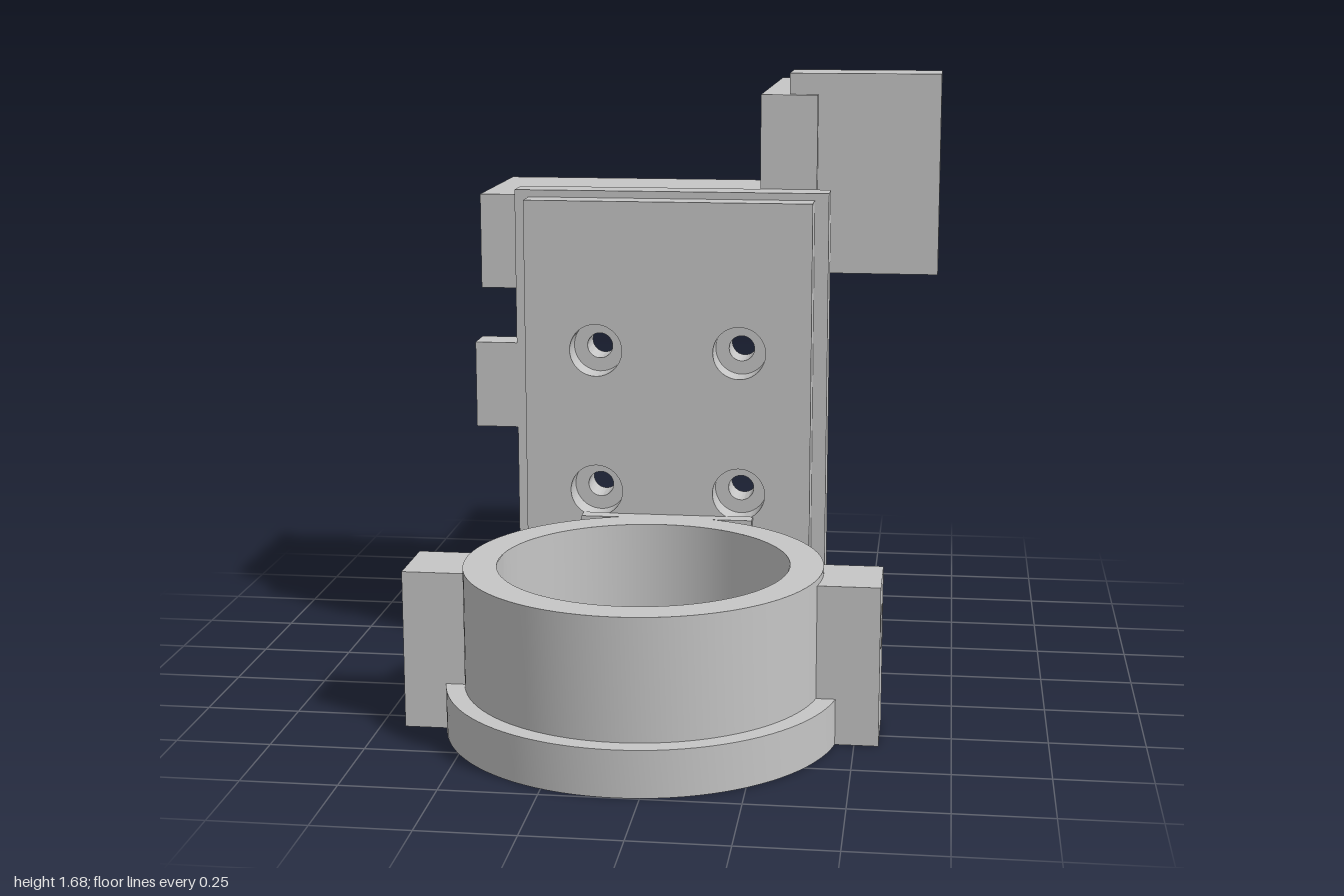
import * as THREE from 'three';
import { toCreasedNormals } from 'three/addons/utils/BufferGeometryUtils.js';

const V = (x, y) => new THREE.Vector2(x, y);

// Closed outline with optional round holes [x, y, r]
function outline(points, holes = []) {
  const s = new THREE.Shape(points.map(p => V(...p)));
  for (const [x, y, r] of holes) {
    const h = new THREE.Path();
    h.absarc(x, y, r, 0, Math.PI * 2, true);
    s.holes.push(h);
  }
  return s;
}

const rect = (x0, x1, y0, y1) => [[x0, y0], [x1, y0], [x1, y1], [x0, y1]];

function extrude(shape, depth) {
  const g = new THREE.ExtrudeGeometry(shape, { depth, bevelEnabled: false, curveSegments: 24 });
  return toCreasedNormals(g, 0.6);
}

export function createModel() {
  const model = new THREE.Group();
  const grey = new THREE.MeshStandardMaterial({ color: 0xc6c6c6, side: THREE.DoubleSide });
  grey.name = 'light grey plastic';

  function add(name, geometry, parent = model) {
    const m = new THREE.Mesh(geometry, grey);
    m.name = name;
    parent.add(m);
    return m;
  }
  function box(name, x0, x1, y0, y1, z0, z1) {
    const m = add(name, new THREE.BoxGeometry(x1 - x0, y1 - y0, z1 - z0));
    m.position.set((x0 + x1) / 2, (y0 + y1) / 2, (z0 + z1) / 2);
  }

  // Flanged ring
  const ring = new THREE.Group();
  ring.name = 'ring';
  ring.position.set(-0.061, 0, 0.478);
  model.add(ring);
  const R = 0.384, H = 0.442, gap = 0.105;
  const profile = [[R, 0], [0.521, 0], [0.521, 0.123], [0.472, 0.123], [0.472, H], [R, H]];
  const shell = new THREE.LatheGeometry(profile.map(p => V(...p)), 96);
  add('ringShell', toCreasedNormals(shell, 0.6), ring);

  // Bore wall, ears and their screw holes on each side
  for (const side of [1, -1]) {
    const turn = side * Math.PI / 2;
    add('ringBore', new THREE.LatheGeometry([V(R, H), V(R, 0)], 48, turn + gap, Math.PI - 2 * gap), ring);

    const w = R * Math.sin(gap);
    const panel = new THREE.ShapeGeometry(outline(rect(-w, w, 0, H), [[0, 0.293, 0.032]]), 16);
    panel.rotateY(-turn).translate(side * R * Math.cos(gap), 0, 0);
    add('borePanel', panel, ring);

    const pin = new THREE.CylinderGeometry(0.032, 0.032, 0.07, 24, 1, true);
    pin.rotateZ(Math.PI / 2).translate(side * (R * Math.cos(gap) + 0.035), 0.293, 0);
    add('borePinHole', pin, ring);

    const ear = extrude(outline(rect(-0.099, 0.099, 0, 0.425), [[0, 0.293, 0.061]]), 0.2);
    ear.rotateY(turn).translate(side * 0.424, 0, 0);
    add('ear', ear, ring);
  }

  // Pad joining ring and plate
  box('joiningPad', -0.302, 0.182, 0, H, -0.02, 0.025);

  // Plates with counterbored screw holes
  const screws = r => [-0.264, 0.141].flatMap(x => [0.507, 0.912].map(y => [x, y, r]));
  const front = extrude(outline(rect(-0.465, 0.342, 0, 1.333), screws(0.074)), 0.082);
  add('frontPlate', front.translate(0, 0, -0.095));
  const backOutline = [[-0.505, 0], [0.382, 0], [0.382, 1.353], [-0.505, 1.353],
    [-0.505, 0.914], [-0.625, 0.914], [-0.625, 0.668], [-0.505, 0.668]];
  const back = extrude(outline(backOutline, screws(0.036)), 0.097);
  add('backPlate', back.translate(0, 0, -0.192));

  // Shelf with a nut slot
  const [slotL, slotR, slotFront, slotBack] = [-0.246, -0.121, 0.272, 0.338];
  const shelfShape = outline(rect(-0.625, 0.182, 0.192, 0.67));
  shelfShape.holes.push(new THREE.Path(rect(slotL, slotR, slotFront, slotBack).reverse().map(p => V(...p))));
  const shelf = extrude(shelfShape, 0.08);
  add('shelf', shelf.rotateX(-Math.PI / 2).translate(0, 1.248, 0));

  // Stepped block under the shelf: drilled layers around a hexagonal nut pocket
  const base = [[-0.625, 1.248], [-0.625, 1.057], [-0.195, 1.057], [-0.195, 0.992],
    [0.09, 0.992], [0.09, 1.057], [0.26, 1.057], [0.26, 1.248]];
  const pocket = [[slotR, 1.248], [slotR, 1.16], [-0.152, 1.106], [-0.215, 1.106], [slotL, 1.16], [slotL, 1.248]];
  const drilled = outline(base, [[-0.184, 1.16, 0.035]]);
  const layers = [[drilled, 0.192, slotFront], [outline([...base, ...pocket]), slotFront, slotBack],
    [drilled, slotBack, 0.43]];
  for (const [shape, near, far] of layers) {
    add('shelfBlock', extrude(shape, far - near).translate(0, 0, -far));
  }

  // Crossed upright arms
  box('rearArm', 0.182, 0.342, 1.243, 1.618, -1, -0.192);
  box('sideArm', 0.261, 0.685, 1.113, 1.677, -0.397, -0.217);

  return model;
}
